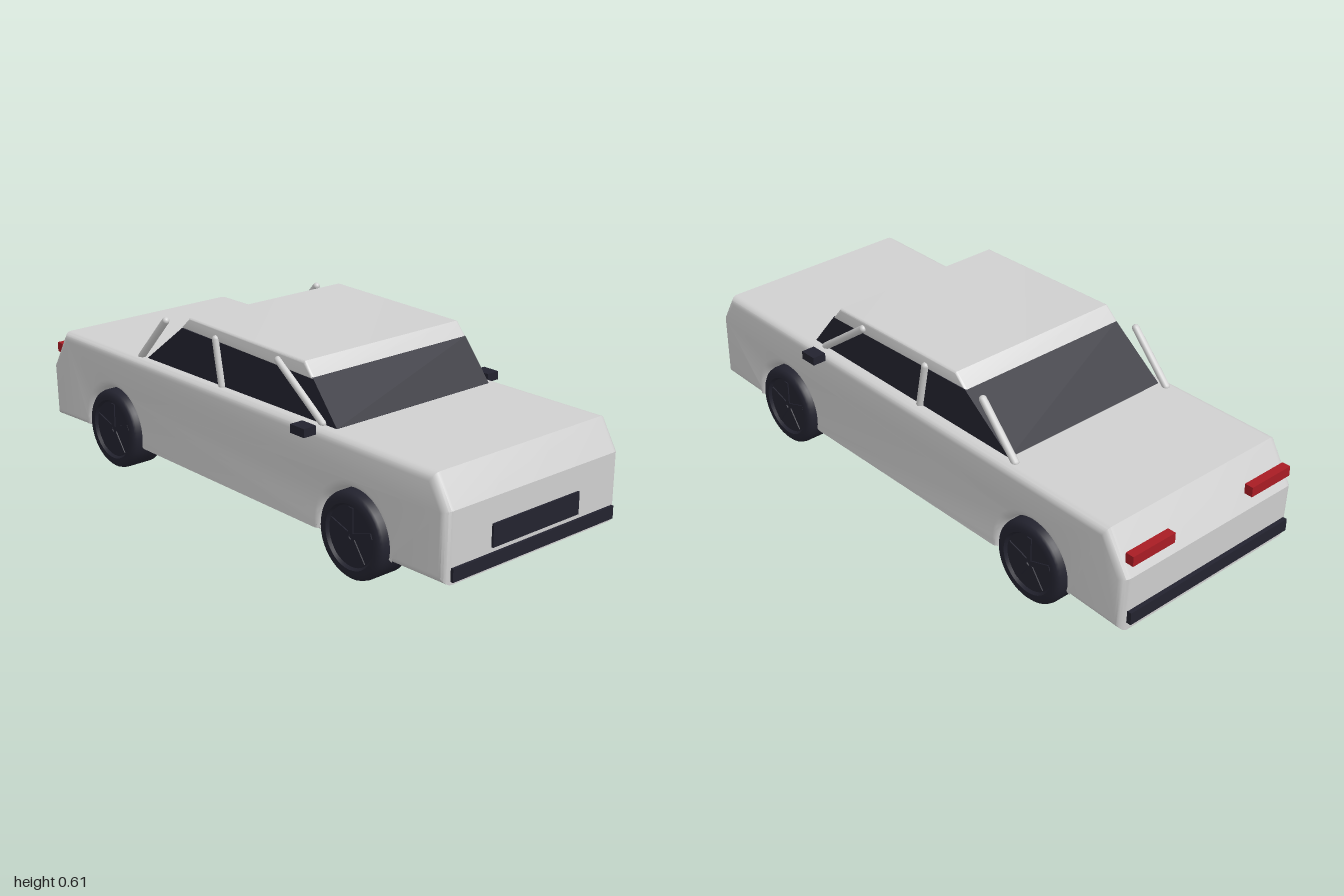
import * as THREE from 'three';
import { toCreasedNormals } from 'three/addons/utils/BufferGeometryUtils.js';

const paint = (name, color) => {
  const m = new THREE.MeshStandardMaterial({ color });
  m.name = name;
  return m;
};

export function createModel() {
  const white = paint('bodyWhite', 0xd0d0d0);
  const dark = paint('darkNavy', 0x23232f);
  const red = paint('lampRed', 0xa81c24);

  const car = new THREE.Group();
  car.name = 'car';

  const add = (name, geometry, material, x = 0, y = 0, z = 0, parent = car) => {
    const mesh = new THREE.Mesh(geometry, material);
    mesh.name = name;
    mesh.position.set(x, y, z);
    parent.add(mesh);
    return mesh;
  };

  // Side profile in (z, y), extruded across the car with rounded sides
  const acrossCar = (shape, halfWidth, bevel, crease = 0.5) => {
    const depth = 2 * (halfWidth - bevel);
    const g = new THREE.ExtrudeGeometry(shape, {
      depth, curveSegments: 20, bevelEnabled: bevel > 0, bevelSegments: 5,
      bevelSize: bevel, bevelThickness: bevel, bevelOffset: -bevel,
    });
    g.translate(0, 0, -depth / 2);
    g.rotateY(-Math.PI / 2);
    return toCreasedNormals(g, crease);
  };
  const polygon = (points) => new THREE.Shape(points.map(([z, y]) => new THREE.Vector2(z, y)));

  // Lower body with wheel arches cut right through
  const wheelZ = [0.61, -0.607];
  const body = new THREE.Shape();
  body.moveTo(0.99, 0.11);
  body.lineTo(0.992, 0.335);
  body.lineTo(0.933, 0.435);
  body.lineTo(-0.908, 0.42);
  body.lineTo(-0.99, 0.283);
  body.lineTo(-0.982, 0.094);
  for (const z of [wheelZ[1], wheelZ[0]]) body.absarc(z, 0.143, 0.142, Math.PI + 0.27, -0.27, true);
  add('body', acrossCar(body, 0.37, 0.028), white);

  // Cabin glass and roof
  add('cabinGlass', acrossCar(polygon([
    [0.49, 0.41], [0.49, 0.432], [0.382, 0.564], [-0.265, 0.572], [-0.462, 0.423], [-0.462, 0.41],
  ]), 0.326, 0), dark);
  add('roof', acrossCar(polygon([
    [0.386, 0.558], [0.345, 0.608], [-0.222, 0.616], [-0.268, 0.573],
  ]), 0.328, 0.009), white);

  // Window pillars
  const pillars = [
    ['frontPillar', 0.435, 0.432, 0.222, 0.586],
    ['middlePillar', -0.052, 0.425, -0.083, 0.583],
    ['rearPillar', -0.495, 0.42, -0.345, 0.583],
  ];
  const up = new THREE.Vector3(0, 1, 0);
  for (const side of [1, -1]) {
    for (const [name, z0, y0, z1, y1] of pillars) {
      const dir = new THREE.Vector3(0, y1 - y0, z1 - z0);
      const pillar = add(name, new THREE.CapsuleGeometry(0.0125, dir.length() - 0.01, 4, 12), white,
        side * 0.329, (y0 + y1) / 2, (z0 + z1) / 2);
      pillar.quaternion.setFromUnitVectors(up, dir.normalize());
    }

    // Wing mirrors and tail lamps
    add('mirror', new THREE.BoxGeometry(0.048, 0.028, 0.062), dark, side * 0.393, 0.427, 0.415);
    add('tailLamp', new THREE.BoxGeometry(0.174, 0.034, 0.03), red, side * 0.256, 0.342, -0.978);
  }

  // Grille and bumpers
  add('grille', new THREE.BoxGeometry(0.37, 0.073, 0.02), dark, 0, 0.216, 0.988);
  add('frontBumper', new THREE.BoxGeometry(0.694, 0.042, 0.025), dark, 0, 0.142, 0.987);
  add('rearBumper', new THREE.BoxGeometry(0.694, 0.042, 0.025), dark, 0, 0.144, -0.987);

  // Wheels: rounded tyre with a recessed five-spoke face
  const tyreProfile = [
    [0, -0.0575], [0.139, -0.0575], [0.139, 0.036], [0.136, 0.047], [0.129, 0.054], [0.118, 0.0575],
    [0.104, 0.0575], [0.097, 0.048], [0, 0.048],
  ].map(([r, y]) => new THREE.Vector2(r, y));
  const tyre = new THREE.LatheGeometry(tyreProfile, 40);
  tyre.rotateZ(-Math.PI / 2);
  const tyreGeometry = toCreasedNormals(tyre, 0.6);
  const spoke = new THREE.BoxGeometry(0.008, 0.085, 0.018);
  spoke.translate(0, 0.05, 0);

  for (const side of [1, -1]) {
    for (const z of wheelZ) {
      const wheel = new THREE.Group();
      wheel.name = z > 0 ? 'frontWheel' : 'rearWheel';
      wheel.position.set(side * 0.327, 0.141, z);
      wheel.rotation.y = side > 0 ? 0 : Math.PI;
      add('tyre', tyreGeometry, dark, 0, 0, 0, wheel);
      for (let i = 0; i < 5; i++) {
        add('spoke', spoke, dark, 0.048, 0, 0, wheel).rotation.x = (i * 2 * Math.PI) / 5;
      }
      car.add(wheel);
    }
  }
  return car;
}
